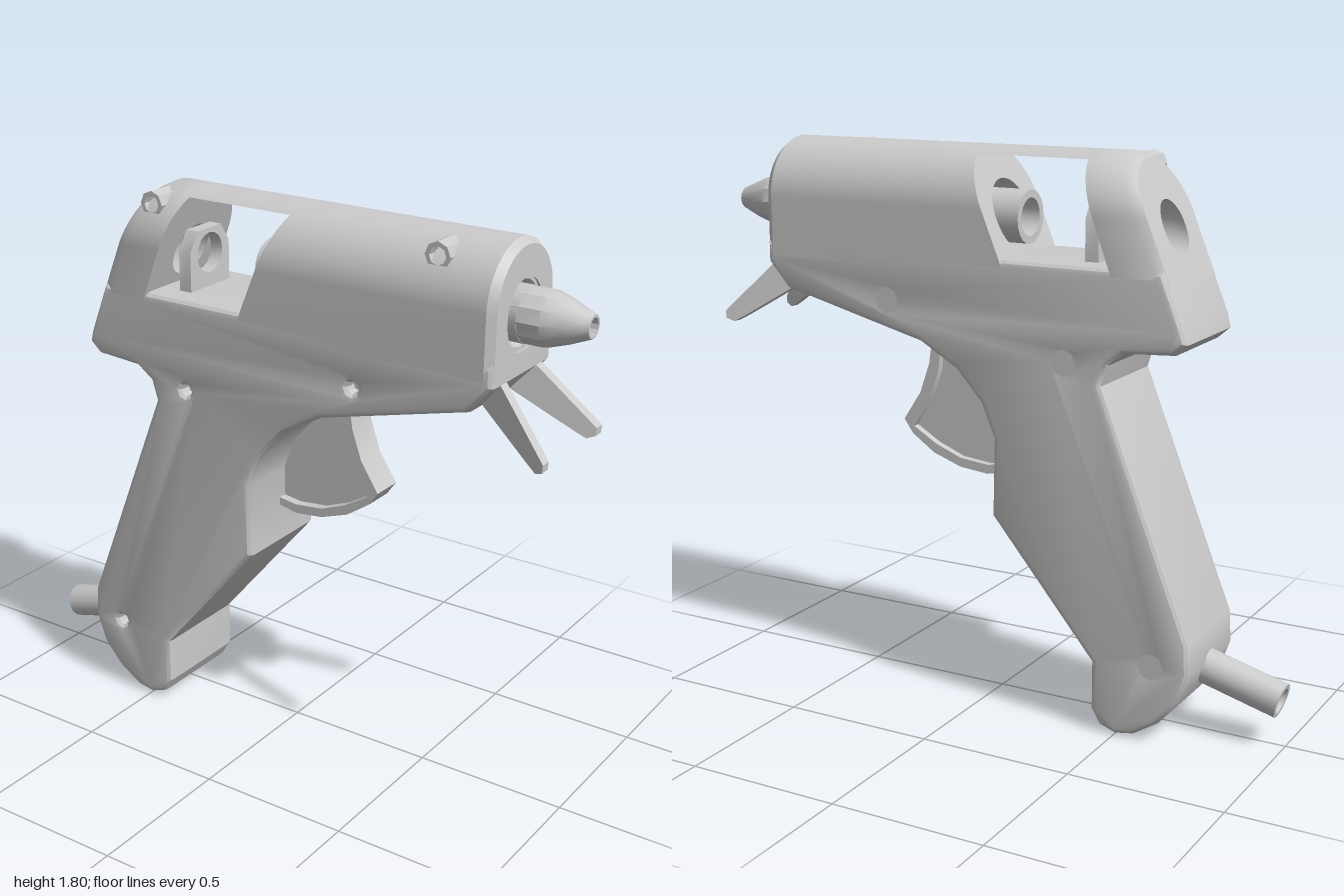
import * as THREE from 'three';
import { toCreasedNormals } from 'three/addons/utils/BufferGeometryUtils.js';

const R = 0.185;       // half width of the body, radius of its round top
const ARCH_Y = 1.615;  // centre height of the round top
const BORE_Y = 1.58;   // height of the glue stick axis
const FLOOR_Y = 1.47;  // window floor

const grey = new THREE.MeshStandardMaterial({ color: 0xcccccc, side: THREE.DoubleSide });

function add(parent, name, geo, crease = 0.6) {
  const mesh = new THREE.Mesh(toCreasedNormals(geo, crease), grey);
  mesh.name = name;
  parent.add(mesh);
  return mesh;
}

const outline = (pts) => new THREE.Shape(pts.map(([x, y]) => new THREE.Vector2(x, y)));

function circleHole(x, y, r) {
  const path = new THREE.Path();
  path.absarc(x, y, r, 0, Math.PI * 2, true);
  return path;
}

// Flat side plate from z0 to z1
function plate(shape, z0, z1) {
  const geo = new THREE.ExtrudeGeometry(shape, { depth: z1 - z0, bevelEnabled: false, curveSegments: 8 });
  return geo.translate(0, 0, z0);
}

// Turned part lying along x; points are [radius, x]
function turnedX(pts, segments) {
  const geo = new THREE.LatheGeometry(pts.map(([r, x]) => new THREE.Vector2(r, x)), segments);
  return geo.rotateZ(-Math.PI / 2);
}

// Cross-section swept along x between two slanted ends; bevel is -1 (rear), 0 or 1 (front)
function barrelPiece(section, xa, xb, bevel) {
  const geo = new THREE.ExtrudeGeometry(section, { depth: 1, steps: 2, bevelEnabled: false, curveSegments: 24 });
  geo.rotateY(Math.PI / 2);
  const p = geo.attributes.position;
  for (let i = 0; i < p.count; i++) {
    const t = p.getX(i), y = p.getY(i), a = xa(y), b = xb(y);
    let x = a + (b - a) * t;
    if (t > 0.4 && t < 0.6 && bevel) x = bevel > 0 ? b - 0.025 : a + 0.04;
    if ((bevel < 0 && t < 0.1) || (bevel > 0 && t > 0.9)) {
      p.setZ(i, p.getZ(i) * 0.9);
      if (y > ARCH_Y) p.setY(i, ARCH_Y + (y - ARCH_Y) * 0.9);
    }
    p.setX(i, x);
  }
  return geo;
}

function archSection(holeRadius) {
  const s = new THREE.Shape();
  s.moveTo(-R, 1.42);
  s.lineTo(R, 1.42);
  s.lineTo(R, ARCH_Y);
  s.absarc(0, ARCH_Y, R, 0, Math.PI, false);
  s.lineTo(-R, 1.42);
  s.holes.push(circleHole(0, BORE_Y, holeRadius));
  return s;
}

function buildBody(g) {
  // Grip and lower housing
  const lower = outline([
    [-0.5, 0], [-0.445, 0.02], [-0.415, 0.07], [-0.415, 0.225], [-0.06, 0.65], [-0.065, 0.9],
    [-0.02, 1.01], [0.07, 1.11], [0.2, 1.185], [0.71, 1.315], [0.785, 1.4], [0.785, FLOOR_Y],
    [-0.632, FLOOR_Y], [-0.7, 1.3], [-0.71, 1.26], [-0.67, 1.225], [-0.51, 1.215], [-0.455, 1.175],
    [-0.435, 1.11], [-0.74, 0.34], [-0.745, 0.24], [-0.71, 0.14], [-0.64, 0.06], [-0.56, 0.01],
  ]);
  const screws = [[-0.31, 1.17], [0.32, 1.31], [-0.62, 0.25]];
  for (const [x, y] of screws) lower.holes.push(circleHole(x, y, 0.018));
  const bevel = 0.025;
  const geo = new THREE.ExtrudeGeometry(lower, {
    depth: 2 * (R - bevel), bevelThickness: bevel, bevelSize: bevel, bevelOffset: -bevel,
    bevelSegments: 3, curveSegments: 4,
  });
  add(g, 'gripHousing', geo.translate(0, 0, bevel - R), 0.5);

  // Closed far side and sunken heads of the screw holes
  for (const [x, y] of screws) {
    const plug = new THREE.CylinderGeometry(0.046, 0.046, 0.1, 16).rotateX(Math.PI / 2);
    add(g, 'screwPlug', plug.translate(x, y, 0.0505 - R));
    const head = new THREE.CylinderGeometry(0.022, 0.022, 0.1, 8).rotateX(Math.PI / 2);
    add(g, 'screwHead', head.translate(x, y, 0.09));
  }

  // Rounded upper housing on both sides of the slanted window, joined by the top strip
  const rear = (y) => -0.632 + 0.41 * (y - FLOOR_Y);
  const windowRear = (y) => -0.457 + 0.37 * (y - FLOOR_Y);
  const windowFront = (y) => -0.088 + 0.41 * (y - FLOOR_Y);
  add(g, 'rearHousing', barrelPiece(archSection(0.085), rear, windowRear, -1));
  add(g, 'barrelHousing', barrelPiece(archSection(0.115), windowFront, () => 0.785, 1));
  const strip = new THREE.Shape();
  strip.absarc(0, ARCH_Y, R, Math.PI / 3, Math.PI * 2 / 3, false);
  add(g, 'topStrip', barrelPiece(strip, () => -0.37, () => 0.06, 0));

  // Raised screw bosses on the rounded top
  for (const x of [-0.45, 0.58]) {
    const pts = [[0.042, 0.03], [0.042, 0.15], [0.028, 0.15], [0.024, 0.1], [0, 0.1]];
    const boss = new THREE.LatheGeometry(pts.map(([r, y]) => new THREE.Vector2(r, y)), 8);
    add(g, 'screwBoss', boss.rotateX(Math.PI / 2).translate(x, 1.75, 0));
  }
}

function buildBore(g) {
  // Heating tube running through the barrel
  const tube = turnedX([[0.085, -0.1], [0.085, 0.8], [0.04, 0.8], [0.06, -0.1], [0.085, -0.1]], 20);
  add(g, 'heatingTube', tube.translate(0, BORE_Y, 0));

  // Hollow nozzle
  const nozzle = turnedX([
    [0.085, 0.76], [0.085, 0.87], [0.065, 0.93], [0.042, 0.985], [0.036, 1], [0.028, 1], [0.034, 0.76],
  ], 12);
  add(g, 'nozzle', nozzle.translate(0, BORE_Y, 0), 0.5);

  // Collar sunk into the barrel mouth
  const collar = turnedX([[0.117, 0.73], [0.117, 0.775], [0.1, 0.775], [0.085, 0.755]], 16);
  add(g, 'nozzleCollar', collar.translate(0, BORE_Y, 0));

  // Glue stick guide standing in the window
  const guide = new THREE.Shape();
  guide.moveTo(-0.1, FLOOR_Y - 0.02);
  guide.lineTo(0.1, FLOOR_Y - 0.02);
  guide.lineTo(0.1, 1.6);
  guide.lineTo(0.06, 1.66);
  guide.lineTo(-0.06, 1.66);
  guide.lineTo(-0.1, 1.6);
  guide.holes.push(circleHole(0, BORE_Y, 0.065));
  add(g, 'stickGuide', plate(guide, 0, 0.045).rotateY(Math.PI / 2).translate(-0.385, 0, 0));
}

function buildTrigger(g) {
  const trigger = new THREE.Group();
  trigger.name = 'trigger';
  const front = [[0.2, 1.2], [0.215, 1.1], [0.25, 1.0], [0.312, 0.905]];
  const bottom = [[0.28, 0.86], [0.2, 0.805], [0.1, 0.77], [0, 0.76], [-0.07, 0.775]];
  // Thin web
  add(trigger, 'triggerWeb', plate(outline([...bottom].reverse().concat(
    [...front].reverse(), [[0.1, 1.16], [-0.08, 0.95]])), -0.075, -0.02));
  // Thick rim along the finger side and the bottom edge
  add(trigger, 'triggerRim', plate(outline([
    ...front, ...bottom, [-0.07, 0.8], [0, 0.79], [0.1, 0.8], [0.19, 0.835], [0.275, 0.885],
    [0.215, 0.98], [0.18, 1.08], [0.17, 1.2],
  ]), -0.1, 0.01));
  g.add(trigger);
}

function buildLegs(g) {
  // Splayed stand legs under the nozzle
  for (const side of [1, -1]) {
    const leg = plate(outline([
      [0.7, 1.33], [0.9, 1.205], [0.935, 1.185], [0.96, 1.195], [0.962, 1.22], [0.785, 1.4], [0.72, 1.42],
    ]), -0.018, 0.018);
    const p = leg.attributes.position;
    for (let i = 0; i < p.count; i++) p.setZ(i, p.getZ(i) + side * (0.085 + 0.36 * (p.getX(i) - 0.72)));
    add(g, side > 0 ? 'standLegFront' : 'standLegBack', leg);
  }
}

function buildCable(g) {
  // Power cable stub leaving the heel of the grip
  const cable = turnedX([[0.057, 0], [0.057, 0.36], [0.042, 0.36], [0.042, 0.3], [0, 0.3]], 20);
  const mesh = add(g, 'cable', cable);
  mesh.position.set(-0.635, 0.24, 0);
  mesh.rotation.z = Math.PI + 0.262;
}

export function createModel() {
  const g = new THREE.Group();
  g.name = 'glueGun';
  buildBody(g);
  buildBore(g);
  buildTrigger(g);
  buildLegs(g);
  buildCable(g);
  return g;
}
